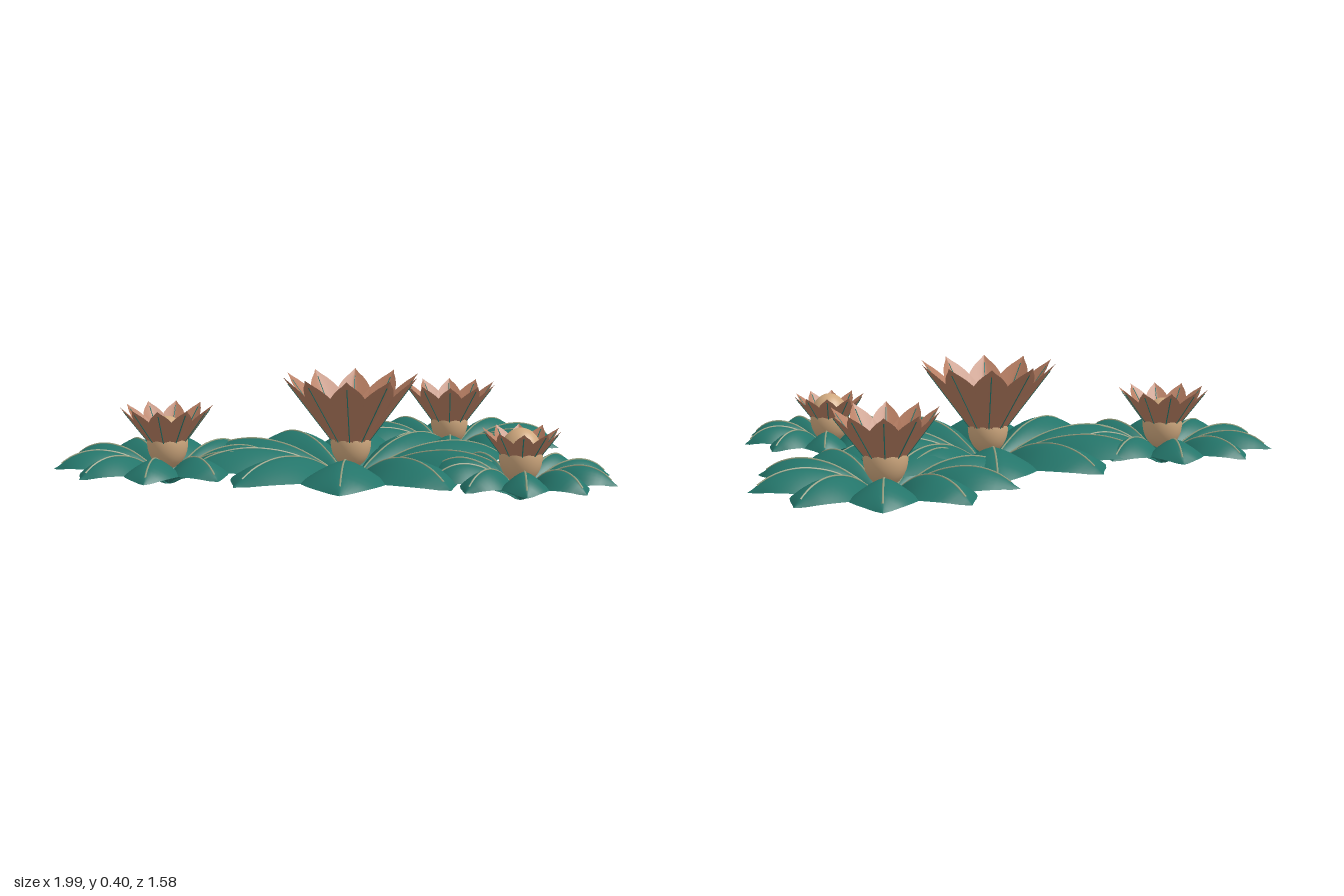
import * as THREE from 'three';

const mat = (name, color, side = THREE.FrontSide) => {
  const m = new THREE.MeshStandardMaterial({ color, side });
  m.name = name;
  return m;
};

// Smooth curve through evenly spaced values, t from 0 to 1
const profile = (values) => {
  const curve = new THREE.SplineCurve(values.map((v, i) => new THREE.Vector2(i, v)));
  return (t) => curve.getPoint(t).y;
};

// Leaf or petal along +x: rib(t) is the midrib, half(t) the half width,
// edge(t) the [x, y] shift of the rim relative to the midrib
function blade(rib, half, edge, power) {
  const rows = 20, cols = 10, pos = [], index = [];
  for (let i = 0; i <= rows; i++) {
    const t = i / rows, [x, y] = rib(t), [ex, ey] = edge(t);
    for (let j = 0; j <= cols; j++) {
      const u = (j / cols) * 2 - 1, k = Math.abs(u) ** power;
      pos.push(x + ex * k, y + ey * k, u * Math.max(half(t), 0));
      if (i < rows && j < cols) {
        const a = i * (cols + 1) + j, b = a + cols + 1;
        index.push(a, a + 1, b, b, a + 1, b + 1);
      }
    }
  }
  const geo = new THREE.BufferGeometry();
  geo.setAttribute('position', new THREE.Float32BufferAttribute(pos, 3));
  geo.setIndex(index);
  geo.computeVertexNormals();
  return geo;
}

// Thin vein following the midrib between two stations
function vein(rib, from, to, radius) {
  const pts = [];
  for (let i = 0; i <= 10; i++) {
    const [x, y] = rib(from + ((to - from) * i) / 10);
    pts.push(new THREE.Vector3(x, y, 0));
  }
  return new THREE.TubeGeometry(new THREE.CatmullRomCurve3(pts), 20, radius, 5);
}

const leafHalf = profile([0.01, 0.06, 0.125, 0.18, 0.225, 0.245, 0.22, 0.145, 0]);
const leafRise = profile([0.01, 0.058, 0.093, 0.12, 0.135, 0.141, 0.135, 0.115, 0.08]);
const petalHalf = profile([0.04, 0.06, 0.085, 0.105, 0.12, 0.12, 0.105, 0.065, 0]);

export function createModel() {
  const leafMat = mat('leaf teal', 0x24756a, THREE.DoubleSide);
  const petalMat = mat('petal copper', 0xb87e62, THREE.DoubleSide);
  const budMat = mat('bud tan', 0xcfa87e);
  const veinMat = mat('vein pale', 0x97a283);

  // Ten copies of a blade and its vein around the stem
  const ring = (name, parts, count = 10) => {
    const group = new THREE.Group();
    group.name = name + 'Ring';
    for (let i = 0; i < count; i++) {
      for (const [part, geo, material] of parts) {
        const m = new THREE.Mesh(geo, material);
        m.name = part;
        m.rotation.y = (i / count) * Math.PI * 2;
        group.add(m);
      }
    }
    return group;
  };

  function rosette(name, x, z, R, lift) {
    const g = new THREE.Group();
    g.name = name;
    g.position.set(x, 0, z);

    // Arched leaves with drooping rims
    const leafRib = (t) => [R * t, leafRise(t) + lift * (4 * t * (1 - t)) - lift * 0.7 * (1 - t)];
    const leafDrop = (t) => [0, -(0.062 + lift) * 4 * t * (1 - t)];
    g.add(ring('leaf', [
      ['leaf', blade(leafRib, (t) => R * leafHalf(t), leafDrop, 1.5), leafMat],
      ['leafVein', vein(leafRib, 0.08, 0.93, 0.0035), veinMat],
    ]));

    // Upright petals opening outward, cupped toward the middle
    const petalRib = (t) => [R * 0.415 * t, 0.073 + R * 0.545 * t];
    const petalCup = (t) => [-R * 0.03 * Math.sin(Math.PI * t), R * 0.022 * Math.sin(Math.PI * t)];
    g.add(ring('petal', [
      ['petal', blade(petalRib, (t) => R * petalHalf(t), petalCup, 1.2), petalMat],
      ['petalVein', vein(petalRib, 0.2, 0.92, 0.002), leafMat],
    ]));

    // Rounded bud in the middle
    const bud = new THREE.Mesh(new THREE.SphereGeometry(0.073, 32, 20), budMat);
    bud.name = 'bud';
    bud.scale.y = 1.3;
    bud.position.y = 0.16;
    g.add(bud);
    return g;
  }

  const model = new THREE.Group();
  model.name = 'waterPlants';
  model.add(
    rosette('mainPlant', 0.04, 0.04, 0.6, 0.014),
    rosette('rightPlant', -0.6, -0.1, 0.4, 0),
    rosette('backPlant', 0.55, -0.37, 0.443, 0.005),
    rosette('frontPlant', 0.515, 0.475, 0.326, 0),
  );
  return model;
}
